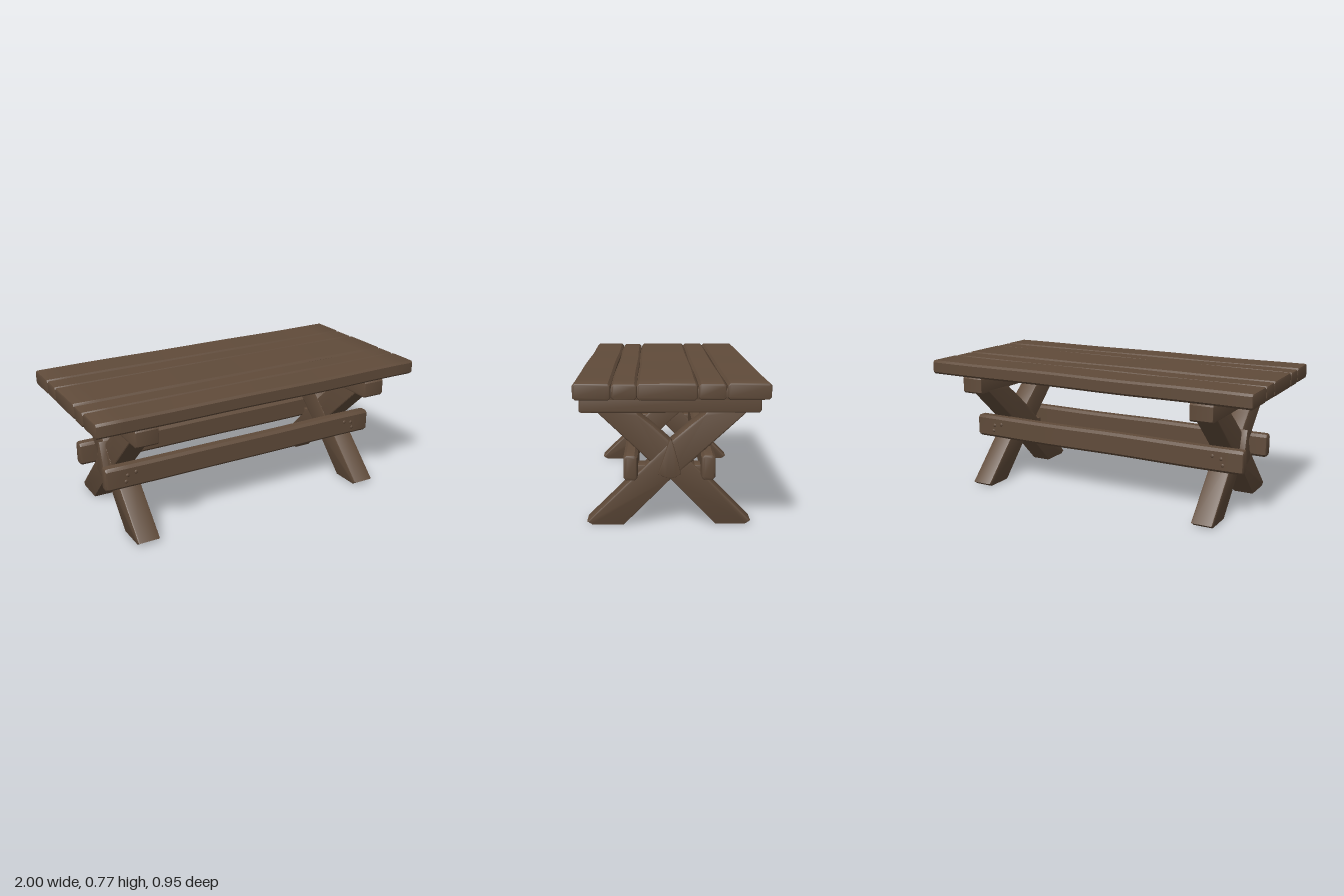
import * as THREE from 'three';
import { toCreasedNormals } from 'three/addons/utils/BufferGeometryUtils.js';

const wood = new THREE.MeshStandardMaterial({ color: 0x604b3a });
wood.name = 'brown wood';

// Timber: outline given as [z, y] points, extruded along x from x0 to x1 with worn edges.
function timber(name, outline, x0, x1, bevel, steps = 1, wobble = 0, seed = 0) {
  const shape = new THREE.Shape(outline.map(([z, y]) => new THREE.Vector2(-z, y)));
  const geo = new THREE.ExtrudeGeometry(shape, {
    depth: x1 - x0 - 2 * bevel, steps, bevelEnabled: true,
    bevelThickness: bevel, bevelSize: bevel, bevelOffset: -bevel, bevelSegments: 2,
  });
  geo.rotateY(Math.PI / 2);
  geo.translate(x0 + bevel, 0, 0);
  // Gentle hand-hewn waviness along the length
  const p = geo.attributes.position;
  for (let i = 0; i < p.count; i++) {
    const x = p.getX(i);
    p.setY(i, p.getY(i) + wobble * 0.6 * Math.sin(x * 7 + seed * 2.1));
    p.setZ(i, p.getZ(i) + wobble * Math.sin(x * 5 + seed * 1.7));
  }
  const mesh = new THREE.Mesh(toCreasedNormals(geo, 0.6), wood);
  mesh.name = name;
  return mesh;
}

// Rectangle with chamfered corners
function block(z0, z1, y0, y1, c) {
  return [[z1 - c, y0], [z1, y0 + c], [z1, y1 - c], [z1 - c, y1],
    [z0 + c, y1], [z0, y1 - c], [z0, y0 + c], [z0 + c, y0]];
}

export function createModel() {
  const table = new THREE.Group();
  table.name = 'trestleTable';

  // Table top: five planks of uneven width
  const top = new THREE.Group();
  top.name = 'tableTop';
  [[-0.474, -0.264, 0.763], [-0.261, -0.129, 0.761], [-0.126, 0.163, 0.765],
    [0.166, 0.288, 0.761], [0.291, 0.472, 0.763]].forEach(([z0, z1, y1], i) => {
    top.add(timber('plank' + (i + 1), block(z0, z1, 0.682, y1, 0.012), -0.998, 0.998, 0.008, 14, 0.002, i));
  });
  // Thin underlay closing the gaps between planks
  top.add(timber('underlay', block(-0.45, 0.45, 0.683, 0.735, 0.004), -0.985, 0.985, 0.002));
  table.add(top);

  // Crossed trestles, one at each end
  const leg = [[0.24, 0], [0.40, 0], [0.428, 0.018], [0.115, 0.325], [0, 0.435],
    [-0.10, 0.522], [-0.17, 0.575], [-0.19, 0.60], [-0.40, 0.60], [-0.10, 0.325], [0, 0.24]];
  const mirrored = leg.map(([z, y]) => [-z * 0.96, y]).reverse();
  for (const s of [1, -1]) {
    const trestle = new THREE.Group();
    trestle.name = s > 0 ? 'leftTrestle' : 'rightTrestle';
    const span = (a, b) => (s > 0 ? [a, b] : [-b, -a]);
    trestle.add(timber('crossbar', block(-0.457, 0.46, 0.584, 0.682, 0.01), ...span(0.658, 0.79), 0.008));
    trestle.add(timber('frontLeg', leg, ...span(0.658, 0.786), 0.009));
    trestle.add(timber('backLeg', mirrored, ...span(0.661, 0.783), 0.009));
    // Pointed wedge over the crossing
    trestle.add(timber('wedge', [[-0.052, 0.275], [-0.02, 0.257], [0, 0.252], [0.025, 0.257],
      [0.063, 0.275], [0.04, 0.345], [0.008, 0.443], [0, 0.452], [-0.008, 0.443], [-0.035, 0.345]],
    ...span(0.76, 0.818), 0.004));
    // Small packing blocks between legs and rails
    trestle.add(timber('frontPacking', block(0.10, 0.18, 0.262, 0.312, 0.006), ...span(0.67, 0.775), 0.004));
    trestle.add(timber('backPacking', block(-0.17, -0.10, 0.262, 0.312, 0.006), ...span(0.67, 0.775), 0.004));
    table.add(trestle);
  }

  // Long side rails with nail heads
  const nail = new THREE.SphereGeometry(0.011, 10, 6);
  for (const [name, z0, z1, face] of [['frontRail', 0.165, 0.235, 0.235], ['backRail', -0.223, -0.153, -0.223]]) {
    const rail = new THREE.Group();
    rail.name = name;
    rail.add(timber('beam', block(z0, z1, 0.256, 0.389, 0.015), -0.875, 0.879, 0.014, 14, 0.002, z0 * 9));
    for (const [x, y] of [[0.70, 0.345], [0.76, 0.30], [0.75, 0.335]]) {
      for (const s of [1, -1]) {
        const head = new THREE.Mesh(nail, wood);
        head.name = 'nailHead';
        head.position.set(s * x, y, face);
        head.scale.z = 0.5;
        rail.add(head);
      }
    }
    table.add(rail);
  }
  return table;
}
